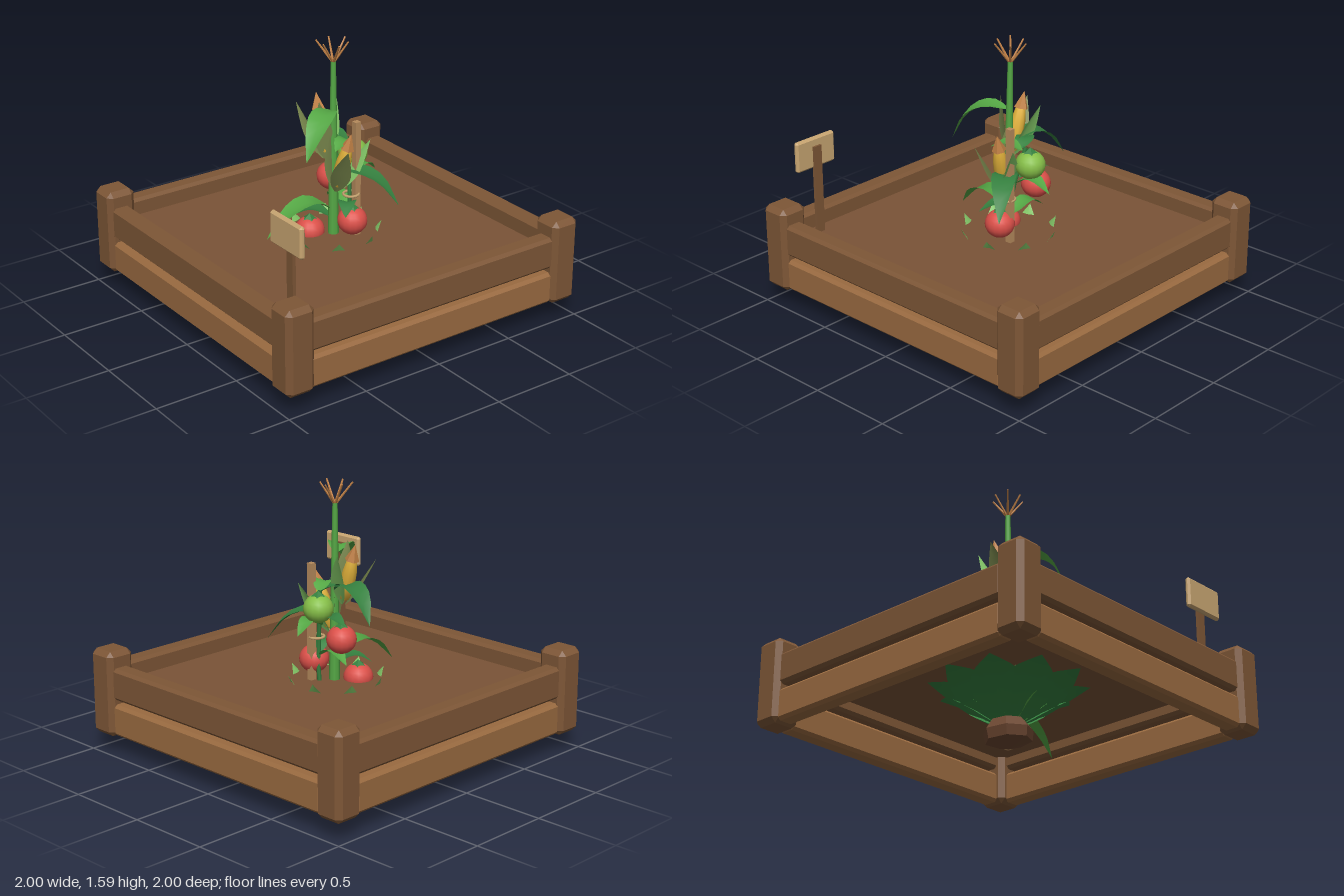
import * as THREE from 'three';
import { ConvexGeometry } from 'three/addons/geometries/ConvexGeometry.js';

const V = (x, y, z) => new THREE.Vector3(x, y, z);
const WOOD = 0x7d5636, PLANK = 0x996a40, SOIL = 0x7a5337, TAN = 0xc8a571, STAKE = 0xb58a5c;
const GREEN = 0x55a845, DARK = 0x35803f, LIGHT = 0x82c566, HUSK = 0x78864c;
const RED = 0xdc5049, UNRIPE = 0x86bf48, CORN = 0xe0b03a, SILK = 0xc08045;

function mesh(parent, name, geometry, color, flat = true, side = THREE.FrontSide) {
  const m = new THREE.Mesh(geometry, new THREE.MeshStandardMaterial({ color, flatShading: flat, side }));
  m.name = name;
  parent.add(m);
  return m;
}

// Box with every edge cut at 45 degrees
function chamferBox(w, h, d, c) {
  const pts = [];
  for (const x of [-1, 1]) for (const y of [-1, 1]) for (const z of [-1, 1]) {
    pts.push(V(x * w / 2, y * (h / 2 - c), z * (d / 2 - c)));
    pts.push(V(x * (w / 2 - c), y * h / 2, z * (d / 2 - c)));
    pts.push(V(x * (w / 2 - c), y * (h / 2 - c), z * d / 2));
  }
  return new ConvexGeometry(pts);
}

// Pointed leaf along a curve, folded a little at its midrib
function leafGeometry(points, width, fold = 0.25, n = 8) {
  const curve = new THREE.CatmullRomCurve3(points.map(p => V(...p)));
  const chord = curve.getPoint(1).sub(curve.getPoint(0));
  const side = V(chord.z, 0, -chord.x).normalize();
  const pos = [], index = [];
  for (let i = 0; i <= n; i++) {
    const t = i / n, p = curve.getPoint(t);
    const w = width / 2 * (0.12 * (1 - t) + Math.sin(Math.PI * Math.pow(t, 0.85)));
    const normal = curve.getTangent(t).cross(side).normalize();
    for (const s of [-1, 0, 1]) {
      const q = p.clone().addScaledVector(side, s * w).addScaledVector(normal, Math.abs(s) * w * fold);
      pos.push(q.x, q.y, q.z);
    }
    if (i < n) for (const k of [0, 1]) {
      const a = i * 3 + k;
      index.push(a, a + 1, a + 3, a + 1, a + 4, a + 3);
    }
  }
  const g = new THREE.BufferGeometry();
  g.setAttribute('position', new THREE.Float32BufferAttribute(pos, 3));
  g.setIndex(index);
  g.computeVertexNormals();
  return g;
}
const leaf = (parent, name, points, width, color, fold) =>
  mesh(parent, name, leafGeometry(points, width, fold), color, false, THREE.DoubleSide);

// Tapered rod between two points
function rod(parent, name, a, b, r0, r1, color, sides, flat) {
  const dir = b.clone().sub(a);
  const m = mesh(parent, name, new THREE.CylinderGeometry(r1, r0, dir.length(), sides), color, flat);
  m.position.copy(a).addScaledVector(dir, 0.5);
  m.quaternion.setFromUnitVectors(V(0, 1, 0), dir.normalize());
}

const lathe = (profile, sides) => new THREE.LatheGeometry(profile.map(p => new THREE.Vector2(...p)), sides);

function buildBed(root) {
  const bed = new THREE.Group();
  bed.name = 'raisedBed';
  root.add(bed);
  for (const x of [-1, 1]) for (const z of [-1, 1])
    mesh(bed, 'cornerPost', chamferBox(0.18, 0.51, 0.18, 0.03), WOOD).position.set(x * 0.91, 0.365, z * 0.91);
  for (let i = 0; i < 4; i++) {
    const wall = new THREE.Group();
    wall.name = 'wall';
    wall.rotation.y = i * Math.PI / 2;
    mesh(wall, 'upperRail', chamferBox(1.68, 0.19, 0.11, 0.018), WOOD).position.set(0, 0.43, 0.92);
    mesh(wall, 'lowerRail', chamferBox(1.68, 0.19, 0.11, 0.018), PLANK).position.set(0, 0.213, 0.92);
    bed.add(wall);
  }
  mesh(bed, 'soil', new THREE.BoxGeometry(1.76, 0.02, 1.76), SOIL).position.y = 0.415;
}

function buildSign(root) {
  const sign = new THREE.Group();
  sign.name = 'sign';
  mesh(sign, 'signPost', new THREE.BoxGeometry(0.055, 0.55, 0.02), WOOD).position.set(0.742, 0.685, 0.8);
  mesh(sign, 'signBoard', chamferBox(0.285, 0.185, 0.034, 0.012), TAN).position.set(0.742, 0.918, 0.821);
  root.add(sign);
}

function cob(parent, base, tip, turn) {
  const g = new THREE.Group();
  g.name = 'cornCob';
  g.position.copy(base);
  g.quaternion.setFromUnitVectors(V(0, 1, 0), tip.clone().sub(base).normalize());
  const profile = [[0, 0], [0.03, 0.02], [0.045, 0.1], [0.042, 0.19], [0.028, 0.27], [0, 0.3]];
  mesh(g, 'kernels', lathe(profile, 10), CORN, false);
  mesh(g, 'silk', new THREE.ConeGeometry(0.042, 0.1, 6), SILK).position.y = 0.315;
  for (let i = 0; i < 3; i++) {
    const a = turn + i * Math.PI * 2 / 3, s = Math.sin(a), c = Math.cos(a);
    leaf(g, 'husk', [[0.01 * s, -0.02, 0.01 * c], [0.055 * s, 0.1, 0.055 * c], [0.09 * s, 0.2, 0.09 * c],
      [0.135 * s, 0.32, 0.135 * c]], 0.105, i === 1 ? LIGHT : HUSK, -0.3);
  }
  parent.add(g);
}

function buildCorn(root) {
  const corn = new THREE.Group();
  corn.name = 'cornPlant';
  root.add(corn);
  rod(corn, 'stalk', V(0.015, 0.1, 0), V(0, 1.47, -0.01), 0.038, 0.015, GREEN, 8, false);
  for (let i = 0; i < 6; i++) {
    const a = i * Math.PI / 3 + 0.3, r = i % 2 ? 0.085 : 0.1;
    rod(corn, 'tassel', V(0, 1.46, -0.01), V(r * Math.cos(a), 1.59, -0.01 + r * Math.sin(a)), 0.008, 0.005, SILK, 5);
  }
  const blades = [
    [[[0, 1.18, 0], [0.07, 1.2, 0.1], [0.13, 1.14, 0.2], [0.16, 0.98, 0.29]], 0.14, GREEN],
    [[[0, 0.94, 0], [-0.12, 1.02, -0.03], [-0.25, 0.98, -0.06], [-0.36, 0.84, -0.1]], 0.13, DARK],
    [[[0, 0.76, 0], [0.11, 0.83, -0.07], [0.23, 0.79, -0.16], [0.33, 0.65, -0.23]], 0.13, DARK],
    [[[0, 0.57, 0], [-0.02, 0.64, 0.13], [-0.03, 0.6, 0.28], [-0.05, 0.47, 0.42]], 0.14, GREEN],
  ];
  for (const [points, width, color] of blades) leaf(corn, 'cornLeaf', points, width, color);
  cob(corn, V(-0.04, 0.9, 0.02), V(-0.14, 1.25, 0.01), 1.05);
  cob(corn, V(0.045, 0.72, 0), V(0.135, 1.06, -0.035), 0.9);
}

function buildTomatoes(root) {
  const plant = new THREE.Group();
  plant.name = 'tomatoPlant';
  root.add(plant);
  mesh(plant, 'stake', new THREE.BoxGeometry(0.036, 1.06, 0.036), STAKE).position.set(0.1, 0.59, -0.1);
  const ring = mesh(plant, 'tie', new THREE.TorusGeometry(0.045, 0.008, 6, 14), TAN, false);
  ring.position.set(0.09, 0.68, -0.07);
  ring.rotation.x = Math.PI / 2;
  const vine = new THREE.CatmullRomCurve3([V(0.02, 0.15, -0.05), V(0.06, 0.45, -0.08), V(0.06, 0.7, -0.08), V(0, 0.99, -0.13)]);
  mesh(plant, 'vine', new THREE.TubeGeometry(vine, 12, 0.013, 6), DARK, false);
  const fruit = [[-0.13, 0.715, -0.09, RED], [0.13, 0.535, -0.05, RED], [-0.01, 0.885, -0.155, UNRIPE], [-0.08, 0.435, 0.1, RED]];
  for (const [x, y, z, color] of fruit) {
    const t = new THREE.Group();
    t.name = 'tomato';
    t.position.set(x, y, z);
    mesh(t, 'fruit', new THREE.SphereGeometry(0.087, 16, 12), color, false).scale.y = 0.95;
    mesh(t, 'calyx', new THREE.ConeGeometry(0.045, 0.035, 5), DARK).position.y = 0.088;
    plant.add(t);
  }
  const foliage = [
    [[0.02, 0.97, -0.1], [-0.06, 1.01, -0.07], [-0.16, 0.97, 0.03]],
    [[0.02, 0.97, -0.12], [0.06, 1.01, -0.04], [0.1, 0.97, 0.05]],
    [[0.02, 0.8, -0.1], [-0.08, 0.845, -0.12], [-0.2, 0.81, -0.13]],
    [[0.04, 0.76, -0.08], [0.02, 0.82, -0.2], [0, 0.75, -0.31]],
    [[0.05, 0.6, -0.07], [0.12, 0.65, -0.02], [0.2, 0.6, 0.05]],
    [[0.05, 0.58, -0.08], [-0.06, 0.63, -0.08], [-0.18, 0.57, -0.1]],
    [[0, 0.52, 0], [-0.07, 0.57, 0.08], [-0.14, 0.53, 0.15]],
  ];
  foliage.forEach((p, i) => leaf(plant, 'tomatoLeaf', p, 0.1, i % 2 ? GREEN : DARK));
}

function buildRosette(root) {
  const head = new THREE.Group();
  head.name = 'leafyRosette';
  root.add(head);
  const clod = mesh(head, 'rootClod', lathe([[0, 0.005], [0.135, 0.05], [0.145, 0.11], [0.1, 0.17], [0, 0.2]], 7), 0x6b4630);
  clod.rotation.z = 0.08;
  // Rings: count, tip radius, tip height, width, turn, colour
  const rings = [[10, 0.46, 0.39, 0.3, 0.2, DARK], [8, 0.37, 0.42, 0.26, 0.5, GREEN], [8, 0.29, 0.48, 0.2, 0.3, LIGHT]];
  for (const [n, r, y, width, turn, color] of rings) for (let i = 0; i < n; i++) {
    const a = turn + i * Math.PI * 2 / n, s = Math.sin(a), c = Math.cos(a);
    leaf(head, 'rosetteLeaf', [[0.03 * s, 0.14, 0.03 * c], [0.38 * r * s, 0.27, 0.38 * r * c],
      [0.72 * r * s, 0.36, 0.72 * r * c], [r * s, y, r * c]], width, color, -0.15);
  }
  leaf(head, 'droopingLeaf', [[0.03, 0.16, 0], [0.14, 0.24, 0], [0.27, 0.17, 0], [0.36, 0.05, 0]], 0.07, GREEN, 0);
}

export function createModel() {
  const root = new THREE.Group();
  root.name = 'gardenBed';
  buildBed(root);
  buildSign(root);
  buildCorn(root);
  buildTomatoes(root);
  buildRosette(root);
  return root;
}
